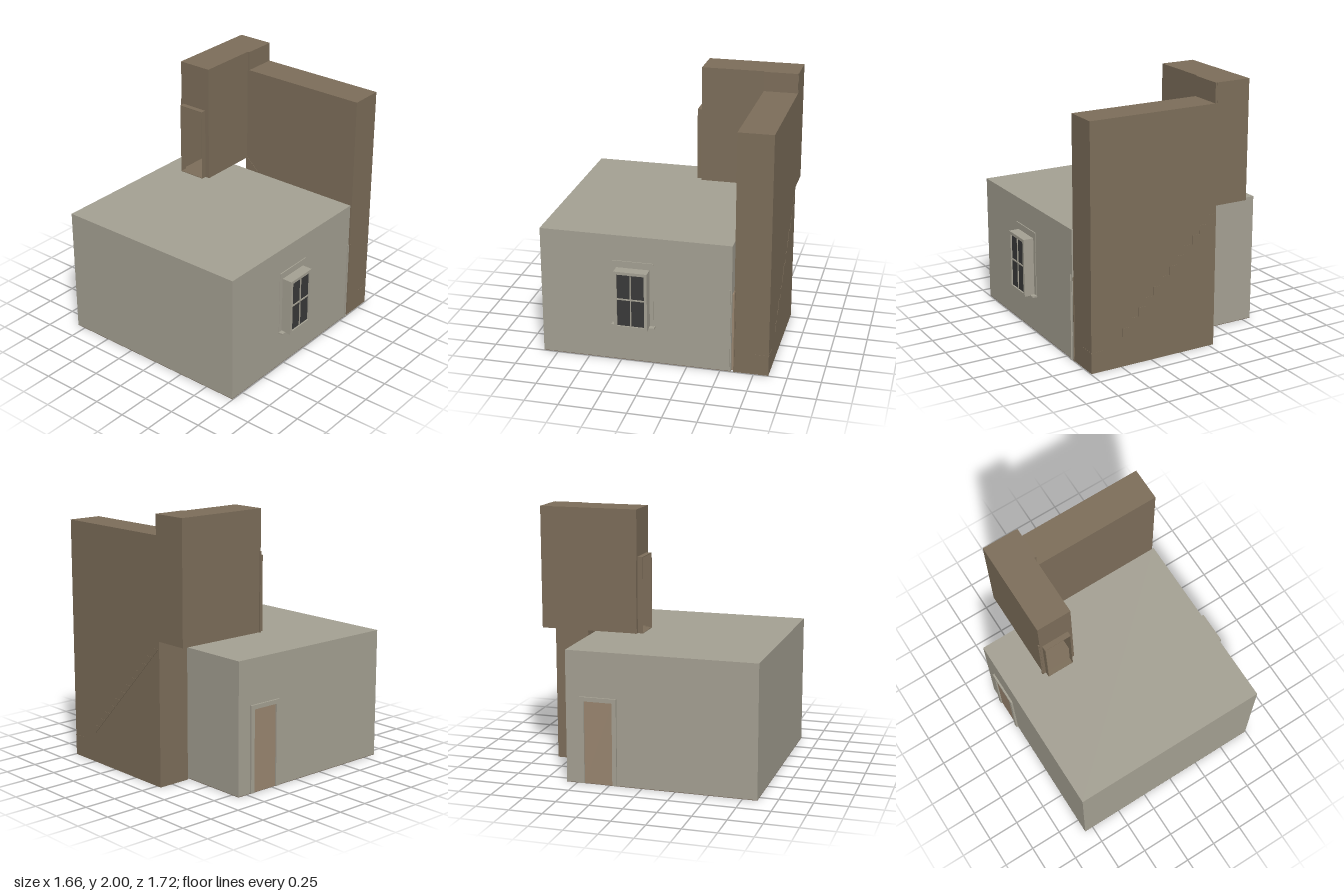
import * as THREE from 'three';

const mat = (color) => new THREE.MeshStandardMaterial({ color, side: THREE.DoubleSide, flatShading: true });

export function createModel() {
  const model = new THREE.Group();
  const plaster = mat(0xa5a193), brown = mat(0x7d6e5a), floorMat = mat(0x75675a);
  const doorMat = mat(0x9a8670), glass = mat(0x3a3a3a);

  const add = (name, geometry, material, parent = model) => {
    const mesh = new THREE.Mesh(geometry, material);
    mesh.name = name;
    parent.add(mesh);
    return mesh;
  };
  // Box given by its two extreme corners
  const box = (name, material, x0, x1, y0, y1, z0, z1, parent) => {
    const mesh = add(name, new THREE.BoxGeometry(x1 - x0, y1 - y0, z1 - z0), material, parent);
    mesh.position.set((x0 + x1) / 2, (y0 + y1) / 2, (z0 + z1) / 2);
    return mesh;
  };
  // Closed outline in the x-y plane
  const outline = (points) => new THREE.Shape(points.map(([x, y]) => new THREE.Vector2(x, y)));
  // Door casing facing z: two jambs and a head
  const casing = (name, material, x0, x1, y0, y1, z0, z1, w) => {
    const group = new THREE.Group();
    group.name = name;
    box('jambLeft', material, x1 - w, x1, y0, y1 - w, z0, z1, group);
    box('jambRight', material, x0, x0 + w, y0, y1 - w, z0, z1, group);
    box('head', material, x0, x1, y1 - w, y1, z0, z1, group);
    model.add(group);
    return group;
  };

  // Lower room
  box('room', plaster, -0.82, 0.745, 0.004, 1, -0.58, 0.86);
  box('roomFloor', floorMat, -0.82, 0.745, 0, 0.004, -0.58, 0.86);

  // Tall stair hall behind the room
  box('stairHall', brown, -0.28, 0.745, 0, 1.85, -0.86, -0.6);
  box('hallEnd', brown, -0.29, -0.28, 0, 1.09, -0.86, -0.6);
  box('hallLintel', brown, -0.28, -0.265, 1.85, 2, -0.858, -0.6);

  // Hollow upper corridor: shell without its front, then a front wall with a door opening
  const shell = new THREE.Group();
  shell.name = 'corridor';
  model.add(shell);
  const [cx0, cx1, cy0, cy1, cz0, cz1] = [-0.55, -0.28, 1.09, 2, -0.86, -0.12];
  const t = 0.002;
  box('leftWall', brown, cx1 - t, cx1, cy0, cy1, cz0, cz1, shell);
  box('rightWall', brown, cx0, cx0 + t, cy0, cy1, cz0, cz1, shell);
  box('ceiling', brown, cx0, cx1, cy1 - t, cy1, cz0, cz1, shell);
  box('corridorFloor', brown, cx0, cx1, cy0, cy0 + t, cz0, cz1, shell);
  box('backWall', brown, cx0, cx1, cy0, cy1, cz0, cz0 + t, shell);
  const [dx0, dx1, dy1] = [-0.53, -0.315, 1.655];
  const front = outline([[cx0, cy0], [dx0, cy0], [dx0, dy1], [dx1, dy1], [dx1, cy0], [cx1, cy0], [cx1, cy1], [cx0, cy1]]);
  add('frontWall', new THREE.ShapeGeometry(front), brown, shell).position.z = cz1;

  // Open door reveal projecting from the corridor front, with the casing inside
  casing('doorReveal', brown, dx0, dx1, cy0, dy1, cz1, -0.08, 0.004);
  box('doorThreshold', brown, dx0, dx1, cy0, cy0 + 0.004, cz1, -0.08);
  casing('innerCasing', brown, -0.56, -0.282, cy0, 1.69, -0.132, -0.122, 0.03);

  // Stair edge showing along the back wall
  const steps = 12, xs = 0.49, ys = 0.23, run = 0.77 / steps, rise = 0.8 / steps;
  for (let i = 0; i < steps; i++) {
    const x = xs - i * run, y = ys + i * rise;
    const step = outline([[x, y], [x, y + rise], [x - run, y + rise]]);
    const geo = new THREE.ExtrudeGeometry(step, { depth: 0.003, bevelEnabled: false });
    add('stairStep', geo, brown).position.z = -0.8625;
  }
  box('landingEdge', brown, 0.635, 0.747, 0.155, 0.162, -0.8615, -0.74);

  // Sloping stringer at the head of the stair
  const stringer = outline([[-0.29, 1], [-0.17, 1], [-0.28, 1.1], [-0.29, 1.1]]);
  add('stairStringer', new THREE.ExtrudeGeometry(stringer, { depth: 0.003, bevelEnabled: false }), brown)
    .position.z = -0.6;

  // Doorway linking the room and the stair hall
  box('linkDoorway', doorMat, 0.505, 0.72, 0, 0.615, -0.6, -0.58);
  casing('linkCasingRoom', plaster, 0.475, 0.756, 0, 0.66, -0.573, -0.563, 0.035);
  casing('linkCasingHall', brown, 0.475, 0.75, 0, 0.65, -0.609, -0.6, 0.03);

  // Side door on the right wall of the room
  box('sideDoor', doorMat, -0.824, -0.82, 0.005, 0.63, -0.44, -0.22);
  box('sideDoorJambFront', plaster, -0.835, -0.82, 0.005, 0.66, -0.222, -0.19);
  box('sideDoorJambBack', plaster, -0.835, -0.82, 0.005, 0.66, -0.47, -0.438);
  box('sideDoorHead', plaster, -0.835, -0.82, 0.628, 0.66, -0.438, -0.222);

  // Projecting window on the left wall of the room
  const win = new THREE.Group();
  win.name = 'window';
  model.add(win);
  const [z0, z1, y0, y1, xOut] = [0.03, 0.28, 0.295, 0.75, 0.83];
  const rim = 0.022;
  box('windowSideFront', plaster, 0.745, xOut, y0, y1, z1 - rim, z1, win);
  box('windowSideBack', plaster, 0.745, xOut, y0, y1, z0, z0 + rim, win);
  box('windowTop', plaster, 0.745, xOut, y1 - rim, y1, z0, z1, win);
  box('windowBottom', plaster, 0.745, xOut, y0, y0 + rim, z0, z1, win);
  box('pane', glass, 0.745, xOut - 0.012, y0 + rim, y1 - rim, z0 + rim, z1 - rim, win);
  box('verticalBar', plaster, xOut - 0.012, xOut - 0.005, y0 + rim, y1 - rim, 0.151, 0.159, win);
  box('crossBar', plaster, xOut - 0.012, xOut - 0.005, 0.525, 0.535, z0 + rim, z1 - rim, win);
  box('sill', plaster, 0.745, 0.786, 0.29, 0.302, -0.01, 0.315, win);
  box('casingFront', plaster, 0.745, 0.749, 0.3, 0.8, z1, 0.31, win);
  box('casingBack', plaster, 0.745, 0.749, 0.3, 0.8, 0, z0, win);
  box('casingHead', plaster, 0.745, 0.749, y1, 0.8, z0, z1, win);
  box('casingCap', plaster, 0.745, 0.753, 0.795, 0.803, 0, 0.31, win);

  return model;
}
